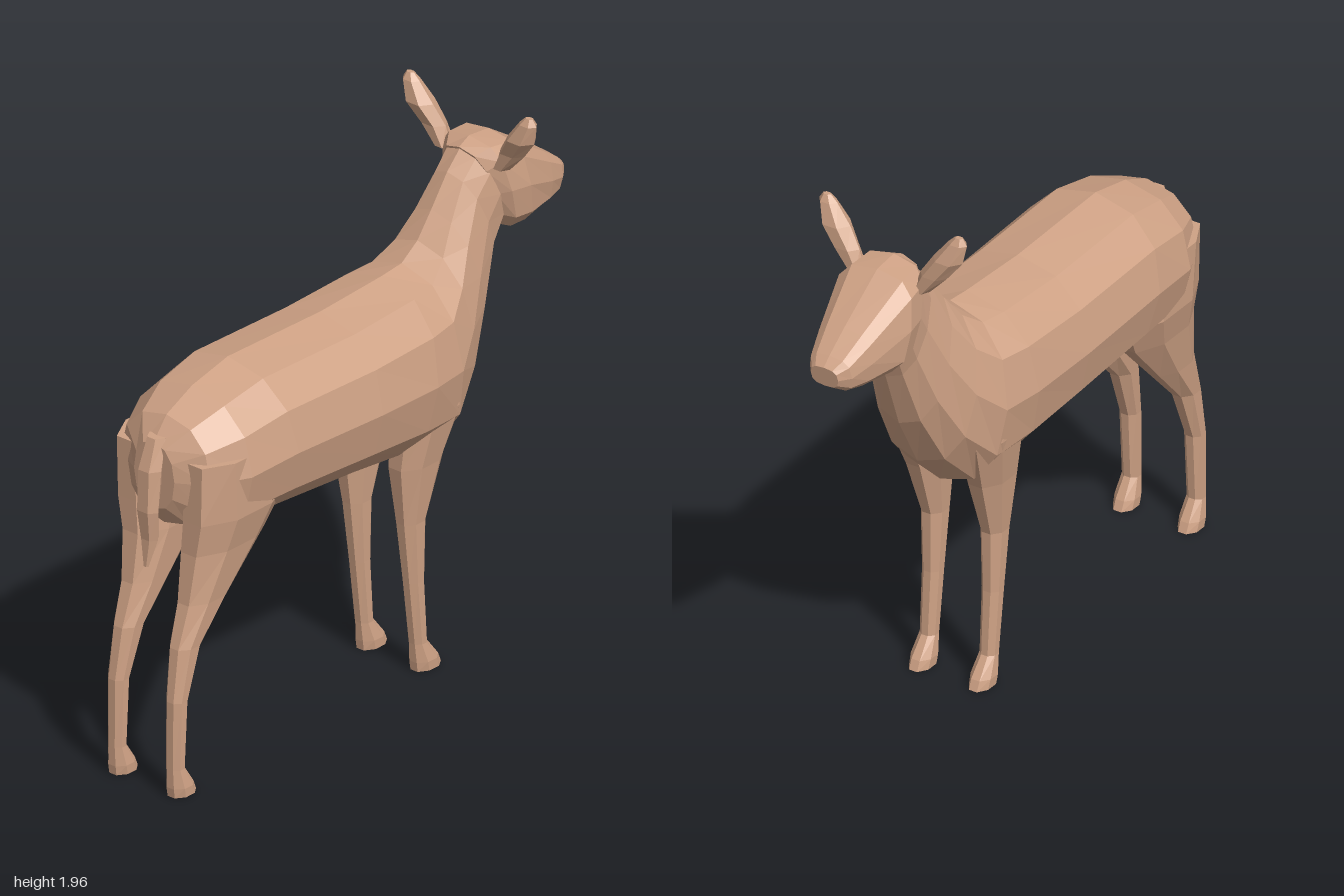
import * as THREE from 'three';

// Closed skin over a list of rings (each an array of [x, y, z])
function loft(rings, material, name) {
  const n = rings[0].length, pos = rings.flat(2), index = [];
  for (let i = 0; i < rings.length - 1; i++) {
    for (let j = 0; j < n; j++) {
      const a = i * n + j, b = i * n + (j + 1) % n;
      index.push(a, a + n, b, b, a + n, b + n);
    }
  }
  const last = (rings.length - 1) * n;
  for (let j = 1; j < n - 1; j++) {
    index.push(0, j, j + 1);
    index.push(last, last + j + 1, last + j);
  }
  const geometry = new THREE.BufferGeometry();
  geometry.setAttribute('position', new THREE.Float32BufferAttribute(pos, 3));
  geometry.setIndex(index);
  const flat = geometry.toNonIndexed();
  flat.computeVertexNormals();
  const mesh = new THREE.Mesh(flat, material);
  mesh.name = name;
  return mesh;
}

const power = (v, p) => Math.sign(v) * Math.pow(Math.abs(v), p);

// Slanted ring between a top and a bottom point, for parts running along x
function spineRing([tx, ty, bx, by, halfWidth, p = 0.9]) {
  const ring = [], n = 12;
  for (let j = 0; j < n; j++) {
    const a = j / n * Math.PI * 2;
    const s = power(Math.sin(a), p), c = power(Math.cos(a), p);
    const t = (1 + s) / 2;
    ring.push([bx + (tx - bx) * t, by + (ty - by) * t, c * halfWidth]);
  }
  return ring;
}

// Level ring for parts running downward: height, back, front, side offset, half width
function levelRing([y, back, front, z, halfWidth], side, n) {
  const ring = [];
  for (let j = 0; j < n; j++) {
    const a = (j + 0.5) / n * Math.PI * 2;
    ring.push([(back + front) / 2 + Math.cos(a) * (front - back) / 2 * 1.06, y,
      side * z - Math.sin(a) * halfWidth * 1.04]);
  }
  return ring;
}

export function createModel() {
  const hide = new THREE.MeshStandardMaterial({ color: 0xcfa285, flatShading: true });
  hide.name = 'tan hide';
  const model = new THREE.Group();
  model.name = 'doe';
  const animal = new THREE.Group();
  animal.name = 'standingAnimal';
  animal.rotation.y = THREE.MathUtils.degToRad(23);
  animal.position.z = -0.01;
  model.add(animal);

  // Trunk and neck: top x, y, bottom x, y, half width
  const trunk = [
    [-0.955, 1.27, -0.95, 1.02, 0.09],
    [-0.89, 1.35, -0.9, 0.95, 0.2],
    [-0.76, 1.41, -0.75, 0.89, 0.265],
    [-0.58, 1.45, -0.5, 0.885, 0.285],
    [-0.11, 1.44, -0.12, 0.855, 0.285],
    [0.2, 1.455, 0.15, 0.82, 0.275],
    [0.3, 1.465, 0.36, 0.8, 0.25],
    [0.38, 1.52, 0.5, 0.94, 0.2],
    [0.45, 1.61, 0.61, 1.14, 0.15],
    [0.53, 1.72, 0.69, 1.36, 0.115],
    [0.6, 1.79, 0.73, 1.46, 0.12],
  ];
  animal.add(loft(trunk.map(spineRing), hide, 'trunkAndNeck'));

  // Head: broad flat skull tapering to the muzzle
  const head = [
    [0.59, 1.79, 0.72, 1.46, 0.11, 0.8],
    [0.64, 1.815, 0.75, 1.45, 0.145, 0.65],
    [0.74, 1.805, 0.81, 1.455, 0.16, 0.65],
    [0.94, 1.675, 0.94, 1.46, 0.112, 0.7],
    [1.03, 1.61, 1.01, 1.475, 0.085, 0.7],
    [1.065, 1.58, 1.055, 1.505, 0.055, 0.7],
  ];
  animal.add(loft(head.map(spineRing), hide, 'head'));

  // Limbs and ears, listed from top to bottom
  const frontLeg = [
    [1.2, 0.16, 0.4, 0.15, 0.08], [1.0, 0.12, 0.42, 0.145, 0.09],
    [0.8, 0.12, 0.34, 0.125, 0.07], [0.58, 0.155, 0.265, 0.12, 0.045],
    [0.35, 0.185, 0.26, 0.12, 0.036], [0.11, 0.215, 0.275, 0.12, 0.032],
    [0.04, 0.22, 0.33, 0.12, 0.042], [0.005, 0.225, 0.345, 0.12, 0.04],
  ];
  const hindLeg = [
    [1.22, -0.93, -0.55, 0.15, 0.1], [1.0, -0.93, -0.5, 0.145, 0.1],
    [0.88, -0.93, -0.57, 0.13, 0.085], [0.7, -0.95, -0.74, 0.125, 0.062],
    [0.55, -0.995, -0.88, 0.125, 0.047], [0.36, -1.02, -0.95, 0.13, 0.036],
    [0.11, -1.02, -0.965, 0.13, 0.033], [0.04, -1.02, -0.92, 0.13, 0.042],
    [0.005, -1.015, -0.905, 0.13, 0.04],
  ];
  const ear = [
    [1.965, 0.635, 0.655, 0.265, 0.015], [1.94, 0.62, 0.67, 0.26, 0.035],
    [1.87, 0.605, 0.695, 0.225, 0.055], [1.8, 0.625, 0.7, 0.175, 0.05],
    [1.73, 0.63, 0.7, 0.13, 0.03],
  ];
  for (const [side, label] of [[1, 'left'], [-1, 'right']]) {
    animal.add(loft(frontLeg.map(r => levelRing(r, side, 8)), hide, label + 'FrontLeg'));
    animal.add(loft(hindLeg.map(r => levelRing(r, side, 8)), hide, label + 'HindLeg'));
    animal.add(loft(ear.map(r => levelRing(r, side, 6)), hide, label + 'Ear'));
  }

  // Short hanging tail
  const tail = [
    [1.29, -0.97, -0.9, 0, 0.035], [1.18, -1.01, -0.93, 0, 0.045],
    [1.03, -1.015, -0.955, 0, 0.045], [0.92, -1.0, -0.95, 0, 0.035],
    [0.82, -1.0, -0.985, 0, 0.01],
  ];
  animal.add(loft(tail.map(r => levelRing(r, 1, 6)), hide, 'tail'));

  return model;
}
